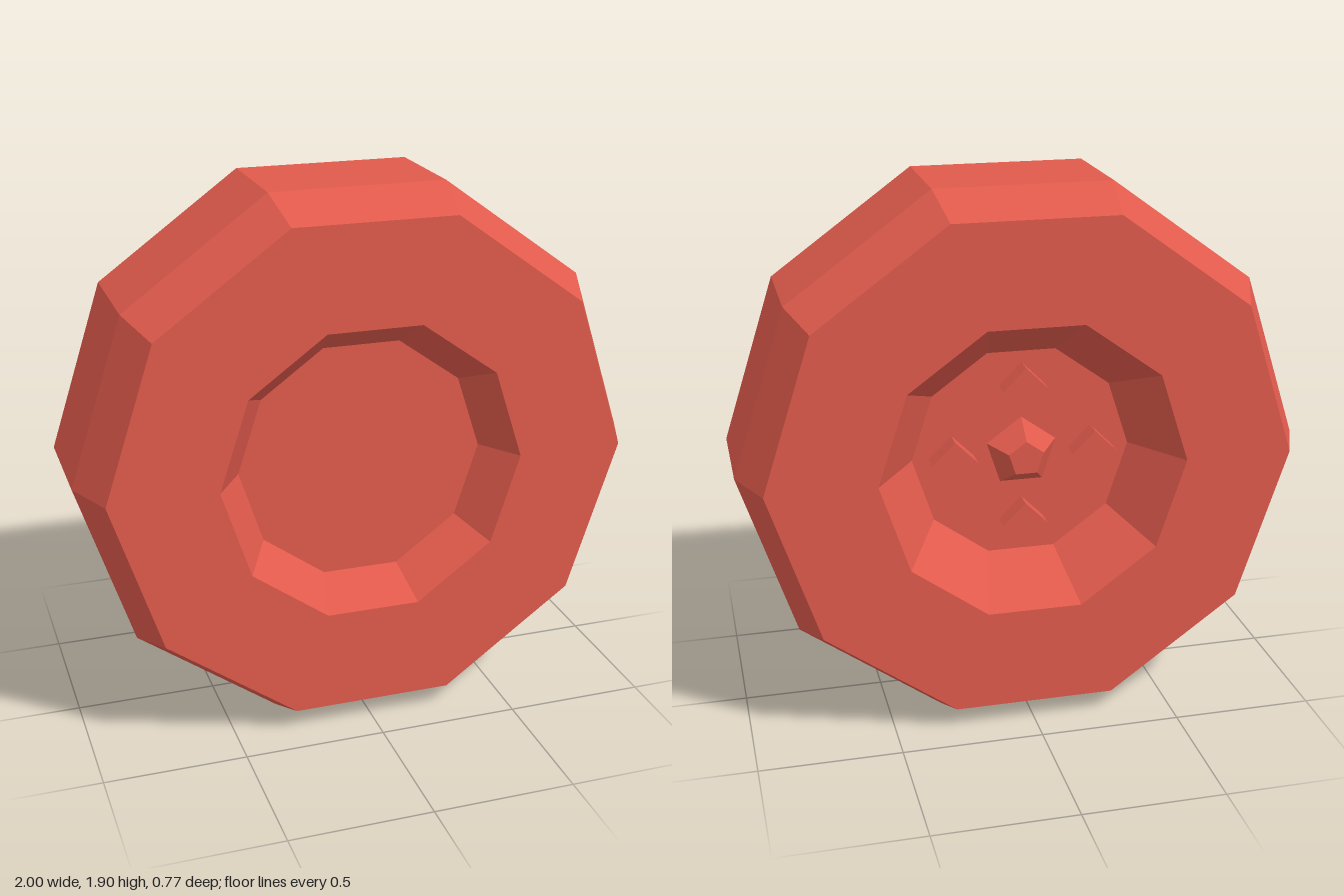
import * as THREE from 'three';

const red = new THREE.MeshStandardMaterial({ color: 0xe05a4c });
red.name = 'red';

const CENTRE_Y = 0.951; // axle height of a ten-sided wheel of radius 1
const HUB_Z = -0.17;    // back hub floor

// Mesh with one flat normal per facet
function facetedMesh(name, geometry) {
  const flat = geometry.toNonIndexed();
  flat.computeVertexNormals();
  const mesh = new THREE.Mesh(flat, red);
  mesh.name = name;
  return mesh;
}

// Stud standing on the back hub floor, pointing to -z
function stud(name, topRadius, baseRadius, height, sides, x, y) {
  const geometry = new THREE.CylinderGeometry(topRadius, baseRadius, height, sides);
  geometry.rotateX(-Math.PI / 2);
  const mesh = facetedMesh(name, geometry);
  mesh.position.set(x, y, HUB_Z - height / 2);
  return mesh;
}

export function createModel() {
  const wheel = new THREE.Group();
  wheel.name = 'wheel';

  // Tyre and both dished hubs: [radius, z] from back centre to front centre
  const profile = [
    [0, HUB_Z], [0.39, HUB_Z], [0.54, -0.387], [0.92, -0.387], [1, -0.2],
    [1, 0.2], [0.92, 0.387], [0.54, 0.387], [0.44, 0.24], [0, 0.24],
  ].map(([r, z]) => new THREE.Vector2(r, z));
  const tyre = new THREE.LatheGeometry(profile, 10, Math.PI / 2);
  tyre.rotateX(Math.PI / 2);
  wheel.add(facetedMesh('tyre', tyre));

  // Five-sided hub cap and four lug nuts
  wheel.add(stud('hubCap', 0.065, 0.13, 0.08, 5, 0, 0));
  for (let i = 0; i < 4; i++) {
    const a = (i * Math.PI) / 2;
    wheel.add(stud('lugNut', 0.08, 0.08, 0.07, 4, 0.25 * Math.cos(a), 0.25 * Math.sin(a)));
  }

  wheel.position.y = CENTRE_Y;
  const model = new THREE.Group();
  model.name = 'wheelModel';
  model.add(wheel);
  return model;
}
